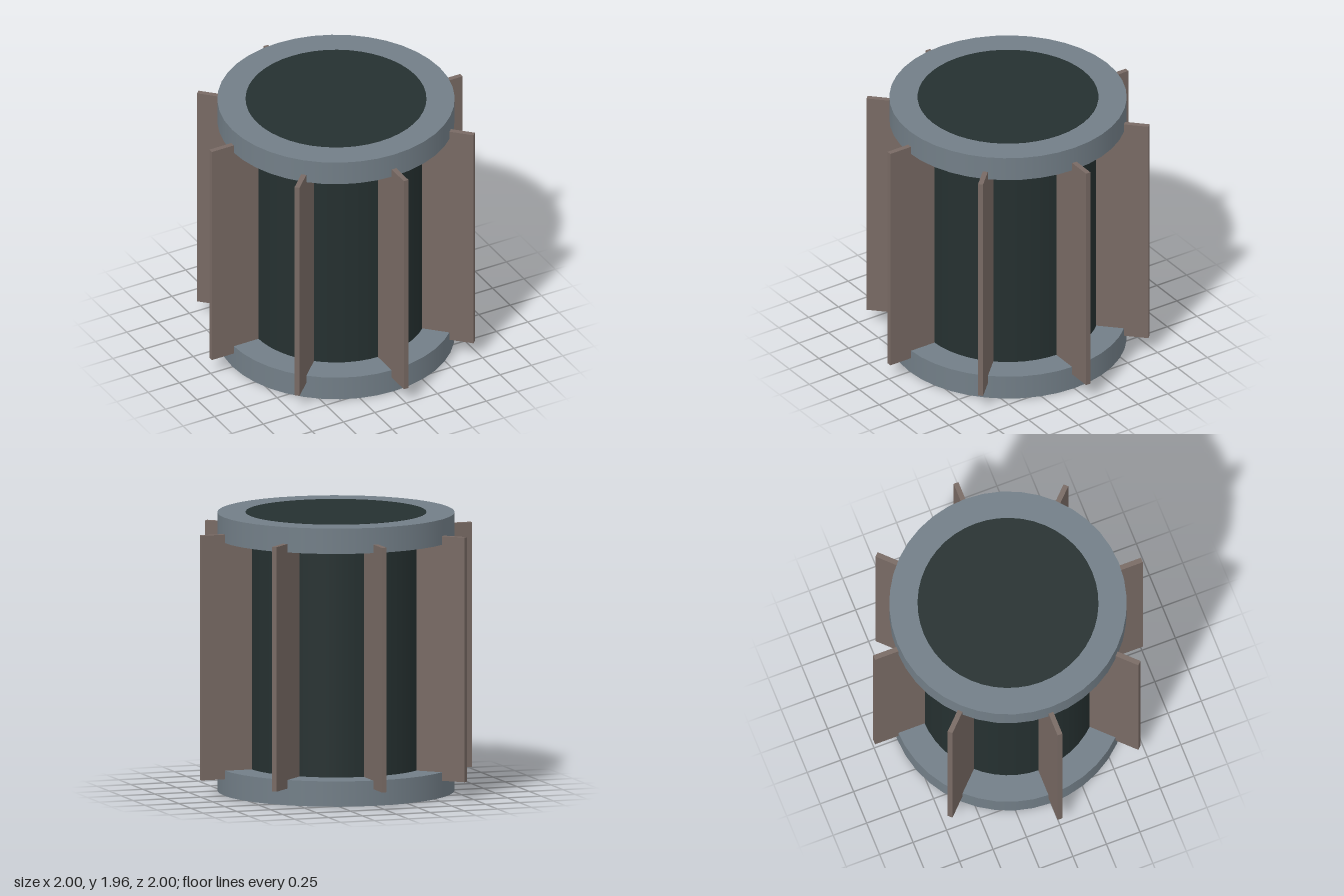
import * as THREE from 'three';

const HEIGHT = 1.96;
const CAP = 0.18;

function material(name, color) {
  const m = new THREE.MeshStandardMaterial({ color });
  m.name = name;
  return m;
}

export function createModel() {
  const group = new THREE.Group();
  group.name = 'finnedDrum';
  const steel = material('blue grey steel', 0x727e87);
  const dark = material('dark green black', 0x253030);
  const brown = material('dull brown', 0x786a64);

  const add = (name, geometry, mat, x, y, z, turn = 0) => {
    const mesh = new THREE.Mesh(geometry, mat);
    mesh.name = name;
    mesh.position.set(x, y, z);
    mesh.rotation.y = turn;
    group.add(mesh);
  };

  // Core runs the full height and shows as a disc at both ends
  add('core', new THREE.CylinderGeometry(0.63, 0.63, HEIGHT, 48), dark, 0, HEIGHT / 2, 0);

  // End caps, set back a hair so the core discs stay clean
  const inset = 0.002;
  const capGeometry = new THREE.CylinderGeometry(0.827, 0.827, CAP - inset, 40);
  add('bottomCap', capGeometry, steel, 0, (CAP + inset) / 2, 0);
  add('topCap', capGeometry, steel, 0, HEIGHT - (CAP + inset) / 2, 0);

  // Eight radial fins
  const inner = 0.6, outer = 1;
  const finGeometry = new THREE.BoxGeometry(outer - inner, 1.72, 0.036);
  const r = (inner + outer) / 2;
  for (let i = 0; i < 8; i++) {
    const a = (i * Math.PI) / 4;
    add('fin' + (i + 1), finGeometry, brown, Math.cos(a) * r, HEIGHT / 2, -Math.sin(a) * r, a);
  }
  return group;
}
